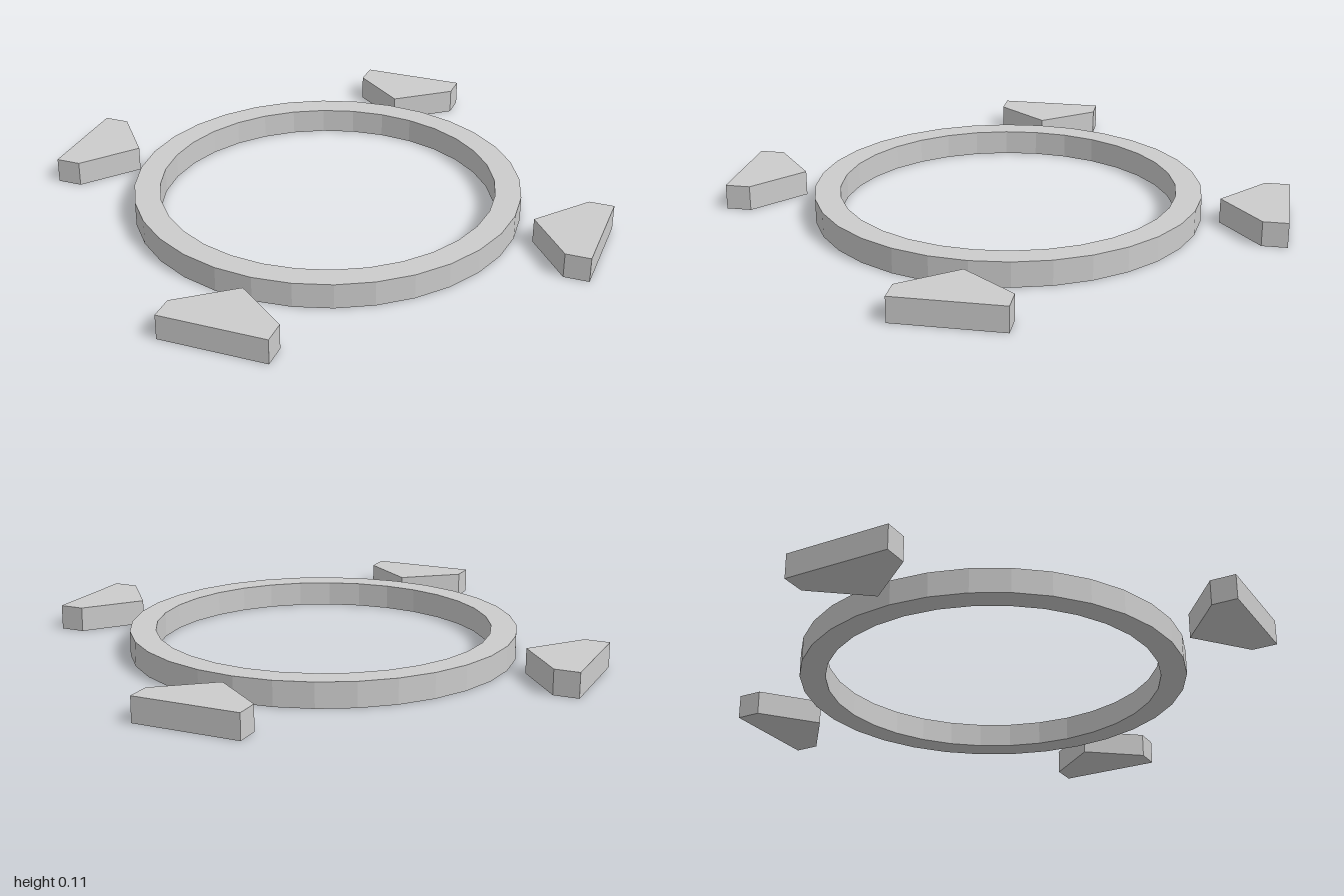
import * as THREE from 'three';

const HEIGHT = 0.106;
const material = new THREE.MeshStandardMaterial({ color: 0xcccccc, flatShading: true });

// Regular polygon outline with a corner on the x axis
function polygon(radius, sides) {
  return Array.from({ length: sides }, (_, i) => {
    const a = (i / sides) * Math.PI * 2;
    return new THREE.Vector2(Math.cos(a) * radius, Math.sin(a) * radius);
  });
}

// Flat slab standing on y = 0, drawn as a plan outline
function slab(shape, name) {
  const geometry = new THREE.ExtrudeGeometry(shape, { depth: HEIGHT, bevelEnabled: false });
  geometry.rotateX(-Math.PI / 2);
  const mesh = new THREE.Mesh(geometry, material);
  mesh.name = name;
  return mesh;
}

export function createModel() {
  const model = new THREE.Group();
  model.name = 'targetMarker';

  // Faceted ring
  const ringShape = new THREE.Shape(polygon(0.824, 32));
  ringShape.holes.push(new THREE.Path(polygon(0.715, 32)));
  model.add(slab(ringShape, 'ring'));

  // Four corner pointers aimed at the centre
  const outline = [[0.68, 1], [0.605, 0.925], [0.638, 0.638], [0.925, 0.605], [1, 0.68]];
  const pointerShape = new THREE.Shape(outline.map(([x, y]) => new THREE.Vector2(x, y)));
  ['backLeftPointer', 'backRightPointer', 'frontRightPointer', 'frontLeftPointer'].forEach((name, i) => {
    const pointer = slab(pointerShape, name);
    pointer.rotation.y = (i * Math.PI) / 2;
    model.add(pointer);
  });

  return model;
}
